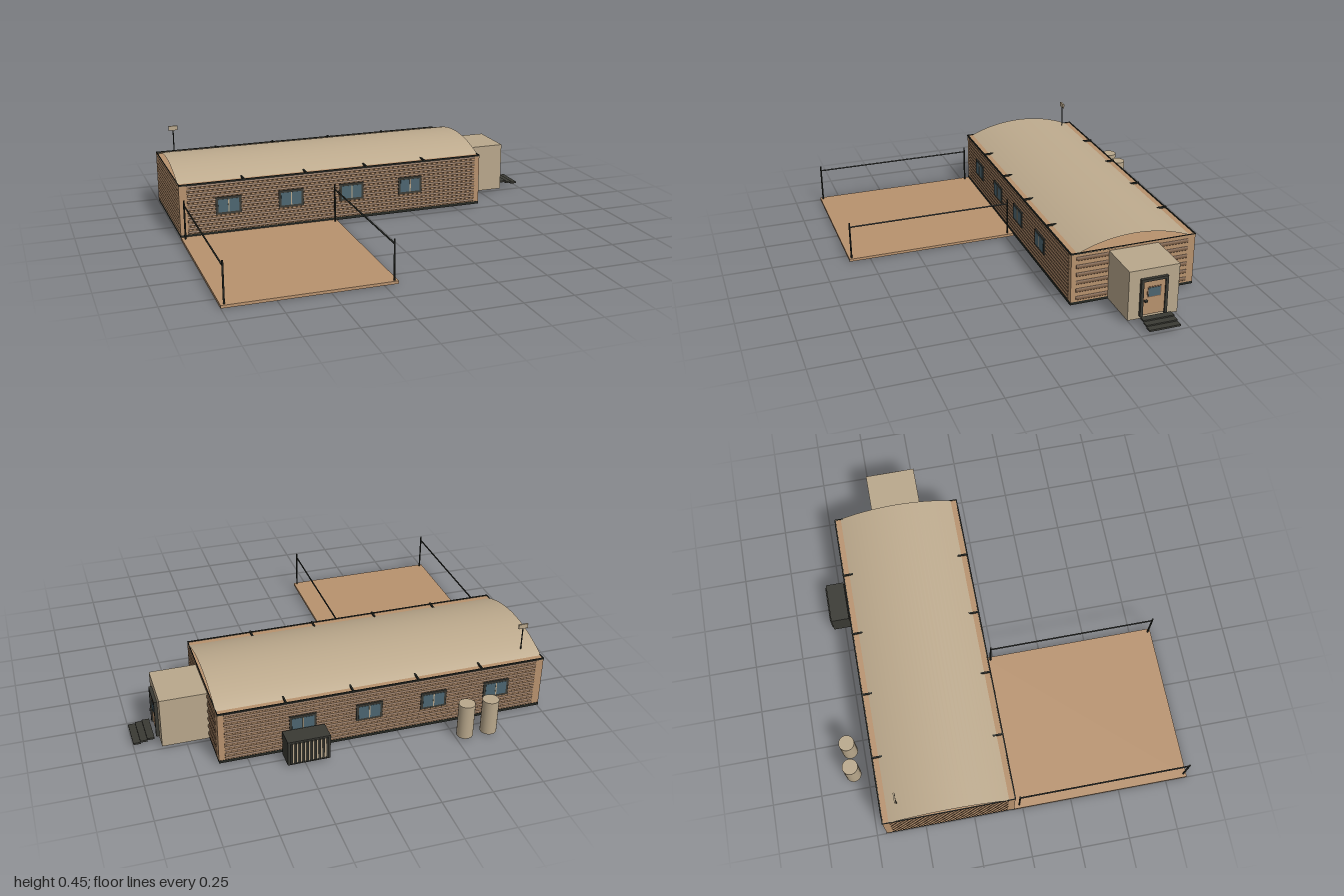
import * as THREE from 'three';

const mat = (name, color, side = THREE.FrontSide) => {
  const m = new THREE.MeshStandardMaterial({ color, side });
  m.name = name;
  return m;
};

export function createModel() {
  const tan = mat('tan wall', 0xb8926e);
  const brown = mat('brown siding', 0x82644b);
  const sand = mat('sand panel', 0xb9a88c);
  const roofSand = mat('sand roof', 0xbeab8e, THREE.DoubleSide);
  const dark = mat('dark metal', 0x3a3a34);
  const black = mat('black trim', 0x242722);
  const glass = mat('window glass', 0x4c6570);

  const model = new THREE.Group();
  model.name = 'barracks';

  const add = (name, geo, m, x, y, z, parent = model) => {
    const mesh = new THREE.Mesh(geo, m);
    mesh.name = name;
    mesh.position.set(x, y, z);
    parent.add(mesh);
    return mesh;
  };
  // Box given by its two extremes on each axis
  const box = (name, m, x0, x1, y0, y1, z0, z1, parent) =>
    add(name, new THREE.BoxGeometry(x1 - x0, y1 - y0, z1 - z0), m,
      (x0 + x1) / 2, (y0 + y1) / 2, (z0 + z1) / 2, parent);

  const X0 = -1, X1 = 0.64, Z0 = -0.7, Z1 = -0.045, TOP = 0.284;
  const midZ = (Z0 + Z1) / 2;

  // Main hall on a dark base
  box('hall', tan, X0, X1, 0.024, TOP, Z0, Z1);
  box('hallBase', black, X0, X1, 0.01, 0.024, Z0 - 0.002, Z1 + 0.002);

  // Dark trim along the roof edges
  for (const z of [Z0, Z1]) box('eavesTrim', black, X0, X1, 0.28, 0.288, z - 0.003, z + 0.003);
  for (const x of [X0 + 0.002, X1 - 0.002]) box('gableTrim', black, x - 0.002, x + 0.002, 0.28, 0.288, Z0, Z1);

  // Rounded siding ribs; each is a flattened horizontal cylinder
  const rib = (length, height, alongZ, x, y, z) => {
    const g = new THREE.CylinderGeometry(1, 1, length, 10);
    g.rotateZ(Math.PI / 2);
    g.scale(1, height / 2, 0.005);
    if (alongZ) g.rotateY(Math.PI / 2);
    add('sidingRib', g, brown, x, y, z);
  };
  for (let i = 0; i < 13; i++) {
    for (const z of [Z0, Z1]) rib(1.57, 0.013, false, -0.175, 0.034 + i * 0.0199, z);
  }
  for (let i = 0; i < 6; i++) {
    const y = 0.044 + i * 0.0425;
    rib(0.165, 0.021, true, X1, y, -0.153);
    rib(0.165, 0.021, true, X1, y, -0.578);
  }
  for (let i = 0; i < 13; i++) rib(0.59, 0.013, true, X0 + 0.004, 0.034 + i * 0.0199, midZ);

  // Open barrel vault roof
  const half = 0.297, rise = 0.061;
  const R = (half * half + rise * rise) / (2 * rise);
  const a = Math.asin(half / R);
  const vault = new THREE.CylinderGeometry(R, R, X1 - X0, 32, 1, true, -a, 2 * a);
  vault.rotateX(-Math.PI / 2);
  vault.rotateY(Math.PI / 2);
  const roof = add('vaultRoof', vault, roofSand, 0, 0, 0);
  vault.computeBoundingBox();
  // Turn the arc to the top if it was laid downward
  if (vault.boundingBox.max.y < 0) vault.rotateX(Math.PI);
  roof.position.set((X0 + X1) / 2, TOP + rise - R, midZ);

  // Roof clamps at both eaves
  for (const x of [-0.67, -0.342, -0.014, 0.314]) {
    box('roofClamp', black, x - 0.004, x + 0.004, 0.28, 0.293, Z1 - 0.05, Z1 + 0.004);
    box('roofClamp', black, x - 0.004, x + 0.004, 0.28, 0.293, Z0 - 0.004, Z0 + 0.05);
  }

  // Windows on both long walls
  for (const [z, turn] of [[Z1, 0], [Z0, Math.PI]]) {
    for (const x of [-0.752, -0.424, -0.096, 0.233]) {
      const w = new THREE.Group();
      w.name = 'window';
      w.position.set(x, 0.16, z);
      w.rotation.y = turn;
      model.add(w);
      box('windowFrame', dark, -0.066, 0.066, -0.045, 0.045, -0.004, 0.008, w);
      box('windowPane', glass, -0.054, 0.054, -0.034, 0.034, 0.004, 0.0095, w);
      box('mullion', sand, -0.003, 0.003, -0.034, 0.034, 0.006, 0.011, w);
    }
  }

  // Entrance porch and door
  const pz = -0.367;
  box('porch', sand, X1, 0.87, 0.014, 0.273, -0.5, -0.24);
  box('doorPanel', tan, 0.868, 0.879, 0.035, 0.215, pz - 0.058, pz + 0.058);
  for (const s of [-1, 1]) {
    box('doorJamb', dark, 0.868, 0.886, 0.03, 0.228, pz + s * 0.063 - 0.007, pz + s * 0.063 + 0.007);
  }
  box('doorLintel', dark, 0.868, 0.886, 0.214, 0.228, pz - 0.07, pz + 0.07);
  box('doorWindowFrame', brown, 0.876, 0.881, 0.127, 0.183, pz - 0.036, pz + 0.036);
  box('doorWindow', glass, 0.876, 0.883, 0.132, 0.178, pz - 0.031, pz + 0.031);
  box('doorHandle', dark, 0.878, 0.893, 0.108, 0.116, pz + 0.036, pz + 0.05);

  // Steps down from the door
  for (let i = 0; i < 3; i++) {
    box('step', dark, 0.897 + i * 0.034, 0.932 + i * 0.034, 0.03 - i * 0.007, 0.039 - i * 0.007, -0.453, -0.293);
  }

  // Terrace with a railing on each side
  box('terrace', tan, -1, -0.18, 0, 0.014, -0.045, 0.86);
  for (const x of [-0.982, -0.196]) {
    for (const z of [-0.015, 0.846]) {
      add('railPost', new THREE.CylinderGeometry(0.0045, 0.0045, 0.2, 8), black, x, 0.114, z);
    }
    const bar = new THREE.CylinderGeometry(0.004, 0.004, 0.861, 8);
    bar.rotateX(Math.PI / 2);
    add('handrail', bar, black, x, 0.19, 0.4155);
  }

  // Cooling unit with a slatted back
  box('coolingUnit', dark, 0.13, 0.338, 0.01, 0.14, -0.81, -0.716);
  box('coolingGrille', sand, 0.142, 0.326, 0.022, 0.128, -0.812, -0.808);
  for (let i = 0; i < 10; i++) {
    const x = 0.147 + i * 0.0193;
    box('coolingSlat', dark, x - 0.005, x + 0.005, 0.018, 0.132, -0.817, -0.808);
  }

  // Storage tanks
  for (const x of [-0.67, -0.547]) {
    add('tank', new THREE.CylinderGeometry(0.04, 0.04, 0.18, 24), sand, x, 0.1, -0.822);
  }

  // Roof mast with a flat panel
  add('mast', new THREE.CylinderGeometry(0.003, 0.003, 0.15, 8), black, -0.915, 0.359, -0.616);
  box('mastPanel', sand, -0.939, -0.891, 0.423, 0.447, -0.62, -0.612);

  return model;
}
